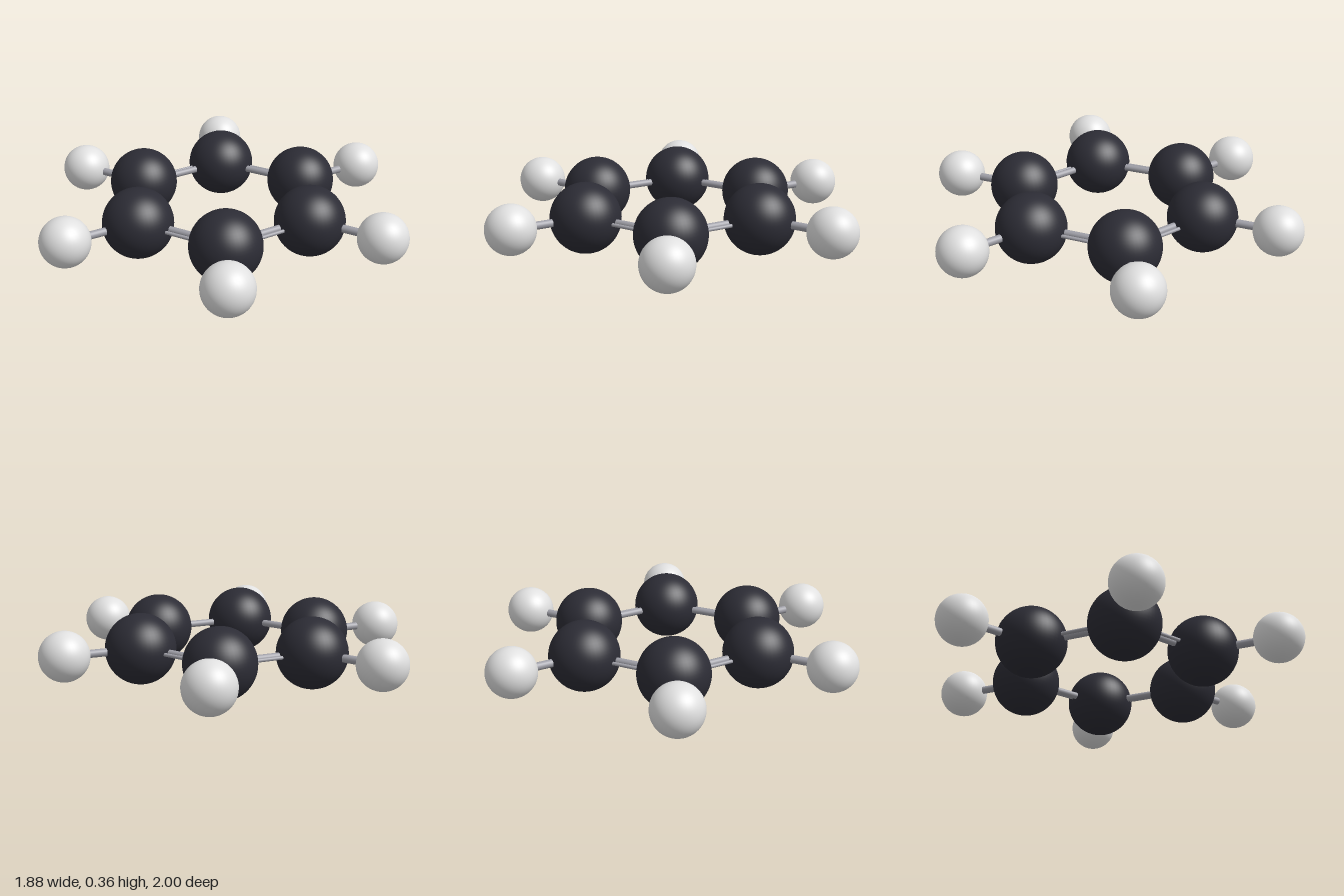
import * as THREE from 'three';

const Y = 0.178; // height of the ring plane

export function createModel() {
  const model = new THREE.Group();
  model.name = 'ringMolecule';

  const dark = new THREE.MeshStandardMaterial({ color: 0x2c2c35 });
  dark.name = 'charcoal';
  const pale = new THREE.MeshStandardMaterial({ color: 0xe0e0e0 });
  pale.name = 'pale grey';
  const grey = new THREE.MeshStandardMaterial({ color: 0xa0a0a8 });
  grey.name = 'bond grey';

  const bigBall = new THREE.SphereGeometry(0.178, 48, 32);
  const smallBall = new THREE.SphereGeometry(0.125, 40, 28);

  function ball(name, geometry, material, position) {
    const mesh = new THREE.Mesh(geometry, material);
    mesh.name = name;
    mesh.position.copy(position);
    model.add(mesh);
  }

  // Round rod from a to b, shifted sideways along the outward direction
  function rod(name, a, b, radius, shift = 0) {
    const dir = b.clone().sub(a);
    const mid = a.clone().add(b).multiplyScalar(0.5);
    const out = new THREE.Vector3(mid.x, 0, mid.z).normalize();
    const mesh = new THREE.Mesh(new THREE.CylinderGeometry(radius, radius, dir.length(), 20), grey);
    mesh.name = name;
    mesh.position.copy(mid).addScaledVector(out, shift);
    mesh.quaternion.setFromUnitVectors(new THREE.Vector3(0, 1, 0), dir.normalize());
    model.add(mesh);
  }

  // Atom positions: three placed by angle (degrees from the back), the rest opposite
  const place = (radius, degrees) => {
    const a = THREE.MathUtils.degToRad(degrees);
    return new THREE.Vector3(radius * Math.sin(a), Y, -radius * Math.cos(a));
  };
  const inner = [[0.498, 7.6], [0.493, 67.4], [0.49, 127.8]];
  const outer = [[0.884, 7.7], [0.879, 67.6], [0.873, 127.9]];
  const ring = [], tips = [];
  for (let i = 0; i < 6; i++) {
    const turn = i < 3 ? 0 : 180;
    ring.push(place(inner[i % 3][0], inner[i % 3][1] + turn));
    tips.push(place(outer[i % 3][0], outer[i % 3][1] + turn));
  }

  for (let i = 0; i < 6; i++) {
    const next = ring[(i + 1) % 6];
    ball('carbonAtom', bigBall, dark, ring[i]);
    ball('hydrogenAtom', smallBall, pale, tips[i]);
    rod('singleBond', ring[i], tips[i], 0.02);
    // Ring bond: thick rod inside, thin rod outside
    rod('ringBondThick', ring[i], next, 0.018, -0.013);
    rod('ringBondThin', ring[i], next, 0.009, 0.022);
  }
  return model;
}
